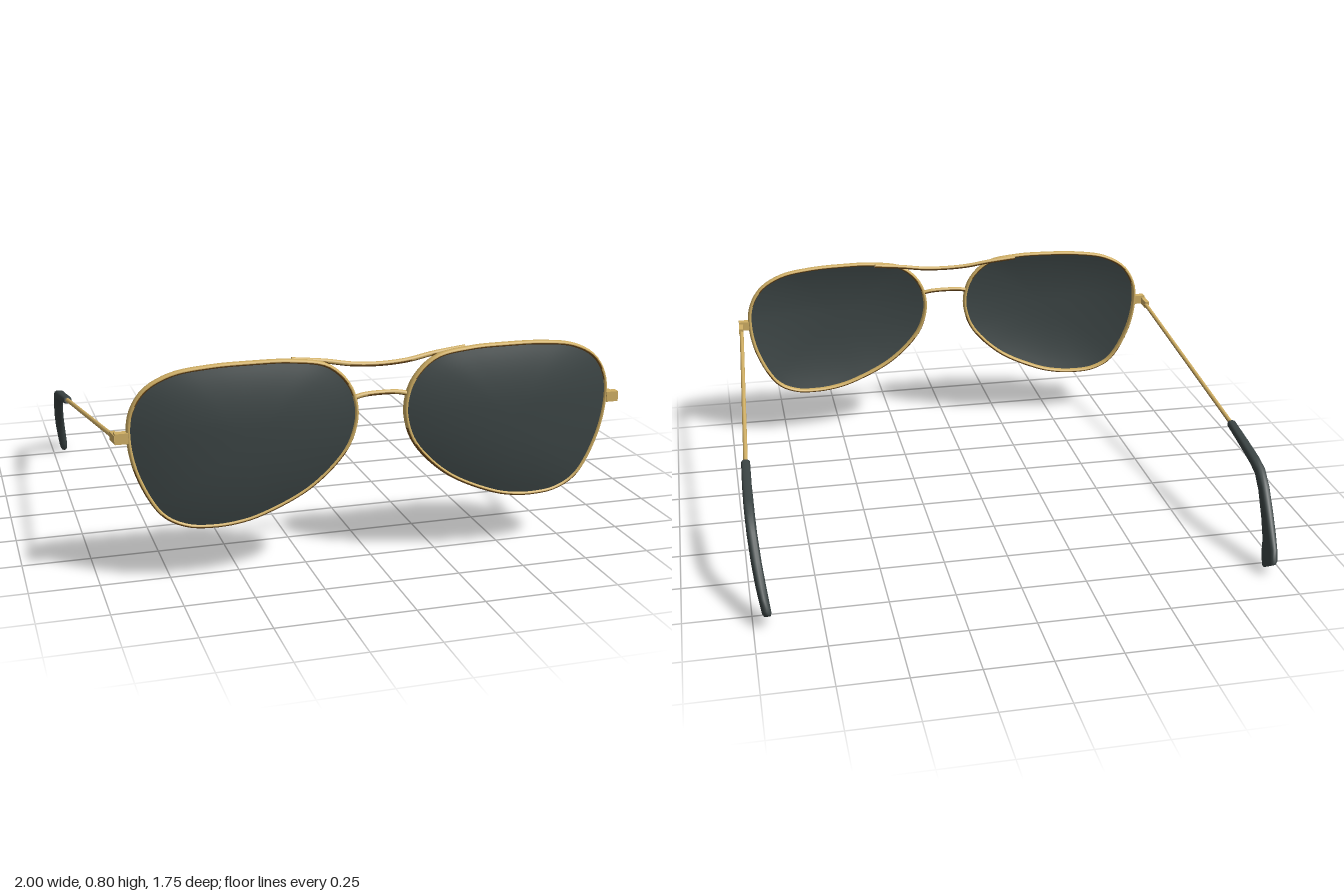
import * as THREE from 'three';

function material(name, color, side = THREE.FrontSide) {
  const m = new THREE.MeshStandardMaterial({ color, side });
  m.name = name;
  return m;
}
const gold = material('gold metal', 0xcfae64, THREE.DoubleSide);
const bronze = material('bronze underside', 0x75501f, THREE.DoubleSide);
const tint = material('dark lens', 0x3b4444, THREE.DoubleSide);
const rubber = material('dark tip', 0x3a4343);
const metal = [gold, bronze];

const V = (x, y, z) => new THREE.Vector3(x, y, z);

// Outline of the +x lens, seen from the front
const outline = new THREE.CatmullRomCurve3([
  [0.093, 0.61], [0.12, 0.692], [0.198, 0.766], [0.33, 0.791], [0.47, 0.794], [0.61, 0.789],
  [0.742, 0.768], [0.833, 0.717], [0.88, 0.64], [0.889, 0.55], [0.861, 0.412], [0.781, 0.268],
  [0.7, 0.223], [0.61, 0.213], [0.52, 0.22], [0.435, 0.242], [0.257, 0.329], [0.132, 0.453], [0.097, 0.54],
].map(([x, y]) => V(x, y, 0)), true);

// The front wraps backwards towards the sides and slightly at the bottom
const wrapZ = (x, y) => 0.847 - 0.043 * (Math.abs(x) / 0.9) ** 3 - 0.02 * Math.max(0, 0.6 - y);

function flip(geo) {
  const a = geo.index.array;
  for (let i = 0; i < a.length; i += 3) [a[i + 1], a[i + 2]] = [a[i + 2], a[i + 1]];
  return geo;
}

function mirror(geo) {
  const g = flip(geo.clone().scale(-1, 1, 1));
  g.computeVertexNormals();
  return g;
}

// Group the faces: first those facing up or sideways, then those facing down
function splitUnderside(geo) {
  const p = geo.attributes.position, idx = geo.index.array, upper = [], under = [];
  for (let i = 0; i < idx.length; i += 3) {
    const face = [idx[i], idx[i + 1], idx[i + 2]];
    const [a, b, c] = face.map((v) => new THREE.Vector3().fromBufferAttribute(p, v));
    const normal = b.sub(a).cross(c.sub(a)).normalize();
    (normal.y < -0.25 ? under : upper).push(...face);
  }
  geo.setIndex([...upper, ...under]);
  geo.addGroup(0, upper.length, 0);
  geo.addGroup(upper.length, under.length, 1);
  return geo;
}

// Skin over equal rings of points; either a closed loop or capped at both ends
function loft(rings, loop) {
  const n = rings[0].length, pts = rings.flat(), idx = [];
  const last = loop ? rings.length : rings.length - 1;
  for (let i = 0; i < last; i++) {
    const a = i * n, b = ((i + 1) % rings.length) * n;
    for (let j = 0; j < n; j++) {
      const k = (j + 1) % n;
      idx.push(a + j, b + j, b + k, a + j, b + k, a + k);
    }
  }
  if (!loop) {
    [rings[0], rings[rings.length - 1]].forEach((ring, end) => {
      const base = pts.length;
      pts.push(...ring.map((p) => p.clone()));
      for (let j = 1; j < n - 1; j++) {
        if (end) idx.push(base, base + j + 1, base + j);
        else idx.push(base, base + j, base + j + 1);
      }
    });
  }
  const geo = new THREE.BufferGeometry().setFromPoints(pts);
  geo.setIndex(idx);
  // Keep the surface facing outwards
  let volume = 0;
  for (let i = 0; i < idx.length; i += 3) {
    volume += pts[idx[i]].dot(pts[idx[i + 1]].clone().cross(pts[idx[i + 2]]));
  }
  if (volume < 0) flip(geo);
  geo.computeVertexNormals();
  return geo;
}

// Flattened wire around the lens
function rimGeometry() {
  const rings = [];
  for (let i = 0; i < 96; i++) {
    const p = outline.getPointAt(i / 96), t = outline.getTangentAt(i / 96);
    const z = wrapZ(p.x, p.y), ring = [];
    for (let j = 0; j < 12; j++) {
      const a = (j / 12) * Math.PI * 2, r = 0.008 * Math.cos(a);
      ring.push(V(p.x + t.y * r, p.y - t.x * r, z - 0.001 + 0.015 * Math.sin(a)));
    }
    rings.push(ring);
  }
  return splitUnderside(loft(rings, true));
}

// Domed lens: shrinking copies of the outline around one centre point
function lensGeometry() {
  const n = 72, steps = 10, c = V(0.49, 0.53, 0), idx = [];
  const pts = [V(c.x, c.y, wrapZ(c.x, c.y) + 0.039)];
  for (let s = 1; s <= steps; s++) {
    const k = s / steps;
    for (let i = 0; i < n; i++) {
      const p = outline.getPointAt(i / n).lerp(c, 1 - k);
      pts.push(V(p.x, p.y, wrapZ(p.x, p.y) + 0.006 + 0.033 * (1 - k ** 2.4)));
    }
  }
  for (let i = 0; i < n; i++) {
    const j = (i + 1) % n;
    idx.push(0, 1 + j, 1 + i);
    for (let s = 0; s < steps - 1; s++) {
      const a = 1 + s * n + i, b = 1 + s * n + j;
      idx.push(a, b + n, a + n, a, b, b + n);
    }
  }
  const geo = new THREE.BufferGeometry().setFromPoints(pts);
  geo.setIndex(idx);
  geo.computeVertexNormals();
  return geo;
}

// Ear tip: x, y, z, half height, half width along its centre line
function tipGeometry() {
  const stations = [
    [0.976, 0.387, -0.272, 0.011, 0.013], [0.976, 0.385, -0.28, 0.015, 0.017],
    [0.98, 0.358, -0.42, 0.018, 0.018], [0.981, 0.337, -0.53, 0.02, 0.019],
    [0.981, 0.318, -0.59, 0.023, 0.019], [0.979, 0.27, -0.645, 0.027, 0.019],
    [0.972, 0.187, -0.715, 0.034, 0.019], [0.964, 0.125, -0.767, 0.042, 0.019],
    [0.957, 0.078, -0.795, 0.06, 0.018], [0.951, 0.042, -0.82, 0.059, 0.017],
    [0.949, 0.033, -0.826, 0.05, 0.012],
  ];
  const rings = stations.map(([x, y, z, h, w], i) => {
    const a = stations[Math.max(i - 1, 0)], b = stations[Math.min(i + 1, stations.length - 1)];
    const dir = V(0, b[1] - a[1], b[2] - a[2]).normalize();
    const ring = [];
    for (let j = 0; j < 16; j++) {
      const t = (j / 16) * Math.PI * 2, c = Math.cos(t), s = Math.sin(t);
      // Rounded-box section
      const u = w * Math.sign(c) * Math.abs(c) ** 0.7, v = h * Math.sign(s) * Math.abs(s) ** 0.7;
      ring.push(V(x + u, y - dir.z * v, z + dir.y * v));
    }
    return ring;
  });
  return loft(rings, false);
}

function rod(points, radius, segments = 24) {
  return splitUnderside(new THREE.TubeGeometry(new THREE.CatmullRomCurve3(points), segments, radius, 12));
}

export function createModel() {
  const model = new THREE.Group();
  model.name = 'sunglasses';
  const add = (parent, name, geo, mat) => {
    const m = new THREE.Mesh(geo, mat);
    m.name = name;
    parent.add(m);
  };

  // Brow bar and bridge
  add(model, 'browBar', rod([V(-0.32, 0.79, 0.822), V(-0.2, 0.777, 0.826), V(-0.1, 0.761, 0.833),
    V(0, 0.756, 0.836), V(0.1, 0.761, 0.833), V(0.2, 0.777, 0.826), V(0.32, 0.79, 0.822)], 0.009, 40), metal);
  add(model, 'bridge', rod([V(-0.1, 0.642, 0.845), V(-0.06, 0.65, 0.842), V(0.06, 0.65, 0.842),
    V(0.1, 0.642, 0.845)], 0.009), metal);

  const rim = rimGeometry(), lens = lensGeometry(), tip = tipGeometry();
  const lug = new THREE.BoxGeometry(0.046, 0.038, 0.03).translate(0.915, 0.556, 0.807);
  const hinge = new THREE.BoxGeometry(0.018, 0.03, 0.078).rotateX(-0.08).rotateY(-0.06).translate(0.932, 0.55, 0.778);
  const arm = rod([V(0.932, 0.546, 0.75), V(0.954, 0.466, 0.235), V(0.976, 0.386, -0.28)], 0.0085, 8);

  for (const side of [1, -1]) {
    const label = side > 0 ? 'left' : 'right';
    const g = (geo) => (side > 0 ? geo : mirror(geo));
    add(model, label + 'Rim', g(rim), metal);
    add(model, label + 'Lens', g(lens), tint);
    add(model, label + 'Lug', g(lug), gold);

    // Arm swings on its hinge; the right one hangs slightly lower
    const temple = new THREE.Group();
    temple.name = label + 'Temple';
    const pivot = V(0, 0.55, 0.78);
    const place = (geo) => g(geo).clone().translate(-pivot.x, -pivot.y, -pivot.z);
    add(temple, label + 'Hinge', place(hinge), gold);
    add(temple, label + 'Arm', place(arm), metal);
    add(temple, label + 'Tip', place(tip), rubber);
    temple.position.copy(pivot);
    temple.rotation.x = side > 0 ? 0.006 : -0.003;
    temple.position.x = side > 0 ? -0.002 : -0.001;
    model.add(temple);
  }
  return model;
}
